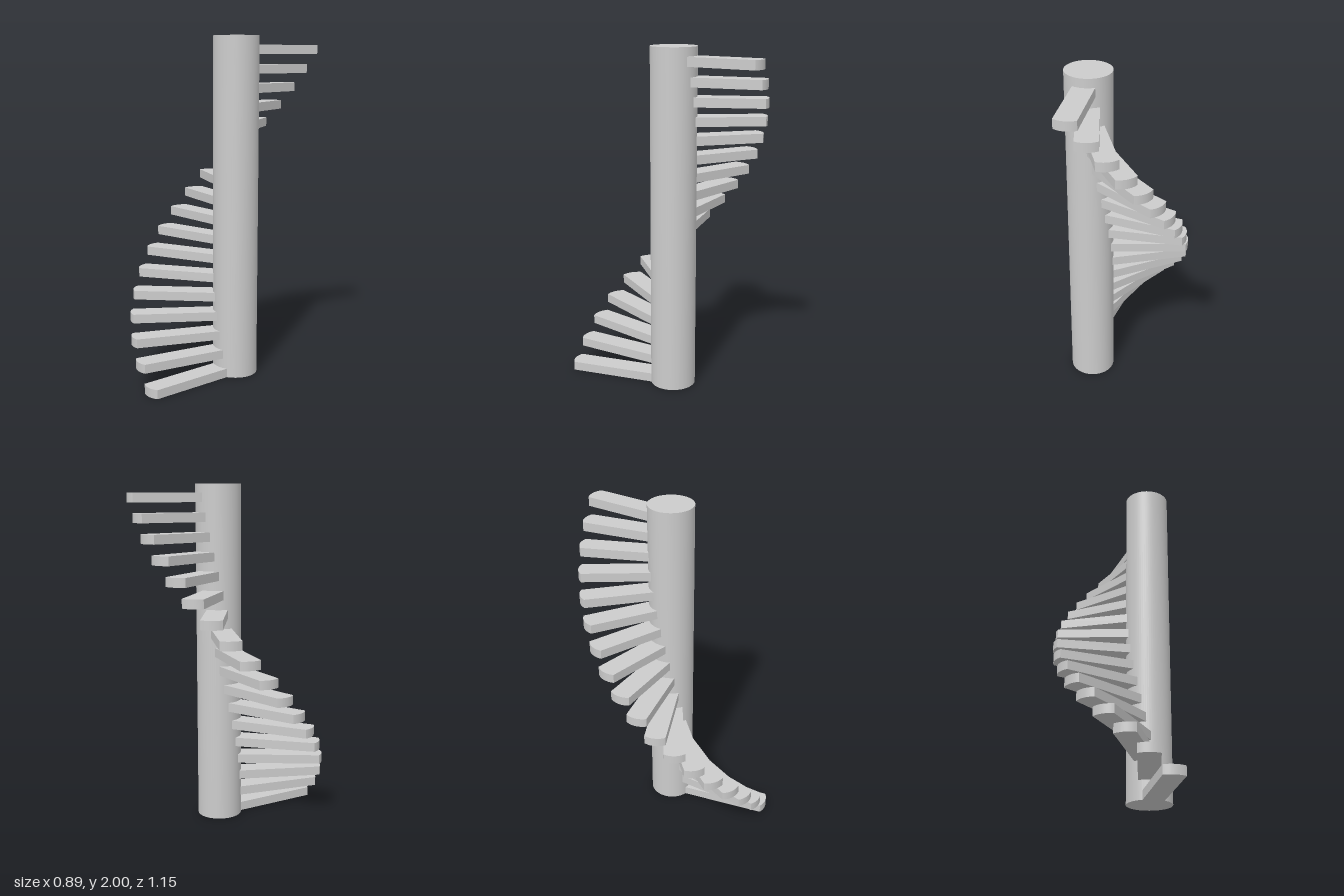
import * as THREE from 'three';

const STEPS = 18;
const RISE = 0.1115;
const THICKNESS = 0.053;
const HALF_WIDTH = 0.0615;
const BULGE = 0.018;

// Straight-sided tread with a shallow arc at its outer end, lying along +x
function treadGeometry(length) {
  const r = (HALF_WIDTH ** 2 + BULGE ** 2) / (2 * BULGE);
  const half = Math.asin(HALF_WIDTH / r);
  const shape = new THREE.Shape();
  shape.moveTo(0.09, -HALF_WIDTH);
  shape.lineTo(length, -HALF_WIDTH);
  shape.absarc(length + BULGE - r, 0, r, -half, half, false);
  shape.lineTo(0.09, HALF_WIDTH);
  shape.closePath();
  const geometry = new THREE.ExtrudeGeometry(shape, {
    depth: THICKNESS, bevelEnabled: false, curveSegments: 12,
  });
  return geometry.rotateX(-Math.PI / 2);
}

export function createModel() {
  const model = new THREE.Group();
  model.name = 'spiralStaircase';
  const material = new THREE.MeshStandardMaterial({ color: 0xcccccc });

  // Everything turns around the off-centre column
  const stair = new THREE.Group();
  stair.name = 'stair';
  stair.position.set(0.144, 0, -0.051);
  model.add(stair);

  const column = new THREE.Mesh(new THREE.CylinderGeometry(0.132, 0.132, 2, 64), material);
  column.name = 'column';
  column.position.y = 1;
  stair.add(column);

  // Treads climb from the front round the right to the back, longest at the front
  for (let i = 0; i < STEPS; i++) {
    const angle = THREE.MathUtils.degToRad(16.5 + 11.28 * i);
    const tread = new THREE.Mesh(treadGeometry(0.57 + 0.06 * Math.cos(angle)), material);
    tread.name = `tread${i + 1}`;
    tread.position.y = i * RISE;
    tread.rotation.y = Math.atan2(-Math.cos(angle), -Math.sin(angle));
    stair.add(tread);
  }
  return model;
}
